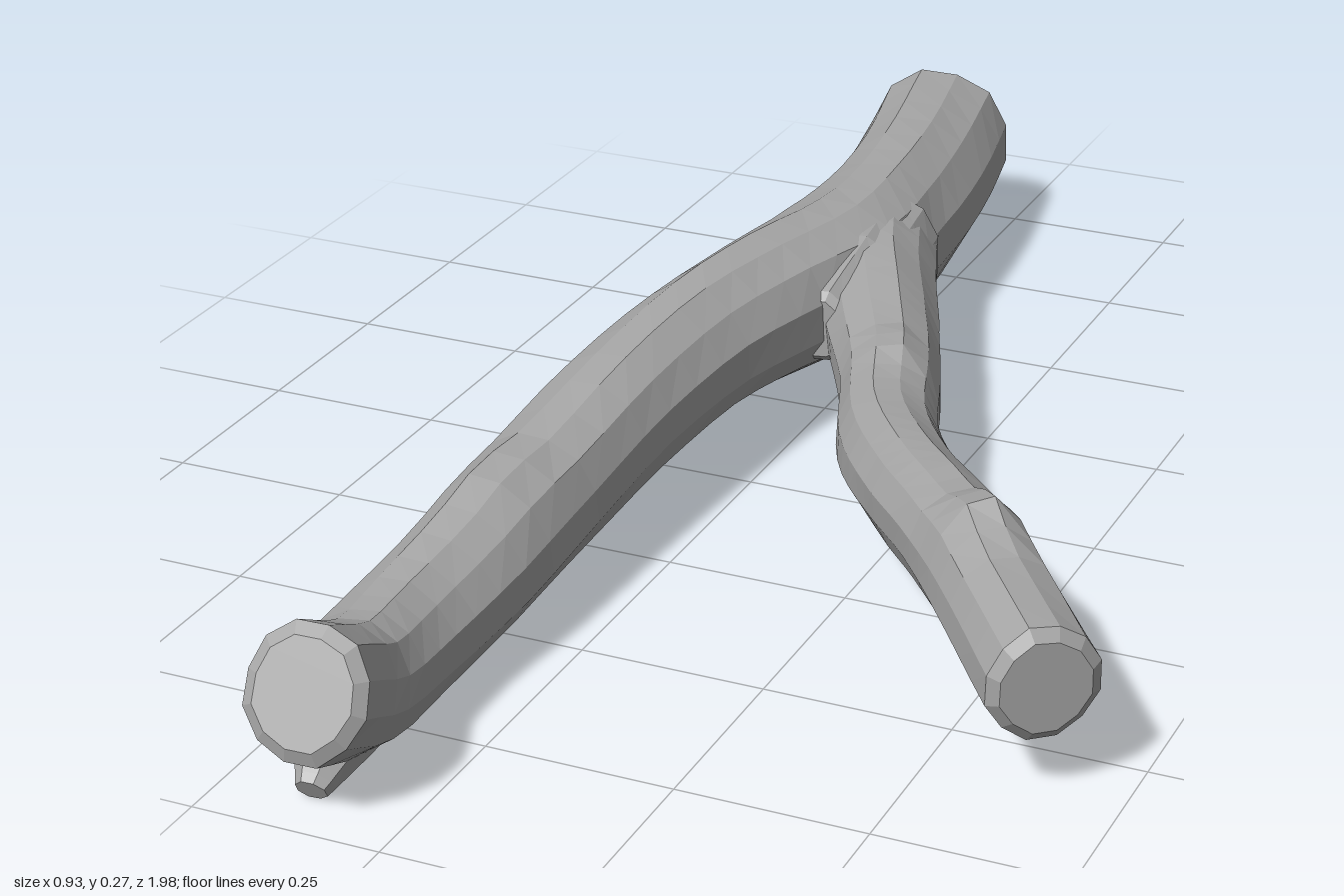
import * as THREE from 'three';

const SIDES = 12;

// Loft a closed limb along stations [x, y, z, halfWidth, halfHeight]; knots are [x, y, z, size, dx, dy, dz]
function limb(name, stations, rings, knots, material, sides = SIDES) {
  const curve = new THREE.CatmullRomCurve3(stations.map(s => new THREE.Vector3(s[0], s[1], s[2])));
  const last = stations.length - 1;
  const up = new THREE.Vector3(0, 1, 0);
  const positions = [], index = [];

  const addRing = (t, scale, push) => {
    const f = t * last, i = Math.min(Math.floor(f), last - 1), k = f - i;
    const w = THREE.MathUtils.lerp(stations[i][3], stations[i + 1][3], k) * scale;
    const h = THREE.MathUtils.lerp(stations[i][4], stations[i + 1][4], k) * scale;
    const tangent = curve.getTangent(t);
    const side = new THREE.Vector3().crossVectors(up, tangent).normalize();
    const top = new THREE.Vector3().crossVectors(tangent, side);
    const centre = curve.getPoint(t).addScaledVector(tangent, push);
    for (let j = 0; j < sides; j++) {
      const a = (j + 0.5) / sides * Math.PI * 2;
      // slight unevenness of the bark
      const r = 1 + 0.025 * Math.sin(j * 2.3 + f * 1.7);
      const p = centre.clone()
        .addScaledVector(side, Math.cos(a) * w * r)
        .addScaledVector(top, Math.sin(a) * h * r);
      for (const [x, y, z, size, dx, dy, dz] of knots) {
        const d2 = p.distanceToSquared(new THREE.Vector3(x, y, z));
        p.addScaledVector(new THREE.Vector3(dx, dy, dz), Math.exp(-d2 / (size * size)));
      }
      positions.push(p.x, p.y, p.z);
    }
  };

  // bevelled cut, body, bevelled cut
  addRing(0, 0.8, -0.012);
  for (let i = 0; i <= rings; i++) addRing(i / rings, 1, 0);
  addRing(1, 0.8, 0.012);

  const total = rings + 3;
  for (let i = 0; i < total - 1; i++) {
    for (let j = 0; j < sides; j++) {
      const a = i * sides + j, b = i * sides + (j + 1) % sides;
      index.push(a, b, a + sides, b, b + sides, a + sides);
    }
  }
  // flat cut faces
  const end = (total - 1) * sides;
  for (let j = 1; j < sides - 1; j++) {
    index.push(0, j + 1, j, end, end + j, end + j + 1);
  }

  const geometry = new THREE.BufferGeometry();
  geometry.setAttribute('position', new THREE.Float32BufferAttribute(positions, 3));
  geometry.setIndex(index);
  geometry.computeVertexNormals();
  const mesh = new THREE.Mesh(geometry, material);
  mesh.name = name;
  return mesh;
}

export function createModel() {
  const group = new THREE.Group();
  group.name = 'forkedBranch';
  const bark = new THREE.MeshStandardMaterial({ color: 0xa6a6a6, flatShading: true });
  bark.name = 'greyBark';

  // main stem, from the thick cut at the back to the upturned front end
  group.add(limb('mainStem', [
    [-0.362, 0.145, -0.955, 0.11, 0.115],
    [-0.325, 0.142, -0.76, 0.108, 0.113],
    [-0.302, 0.142, -0.57, 0.108, 0.113],
    [-0.295, 0.152, -0.40, 0.115, 0.11],
    [-0.325, 0.165, -0.22, 0.102, 0.105],
    [-0.352, 0.172, -0.04, 0.092, 0.098],
    [-0.368, 0.160, 0.16, 0.088, 0.093],
    [-0.376, 0.134, 0.36, 0.087, 0.09],
    [-0.382, 0.112, 0.54, 0.086, 0.09],
    [-0.391, 0.096, 0.70, 0.082, 0.085],
    [-0.379, 0.106, 0.83, 0.078, 0.082],
    [-0.357, 0.168, 0.958, 0.077, 0.085],
  ], 33, [[-0.38, 0.21, 0.47, 0.07, 0, 0.015, 0]], bark));

  // side branch, growing out of the stem at the fork
  group.add(limb('sideBranch', [
    [-0.285, 0.145, -0.58, 0.075, 0.085],
    [-0.235, 0.146, -0.41, 0.085, 0.092],
    [-0.155, 0.142, -0.24, 0.082, 0.085],
    [-0.080, 0.139, -0.09, 0.072, 0.08],
    [-0.020, 0.137, 0.06, 0.068, 0.08],
    [0.075, 0.152, 0.20, 0.066, 0.077],
    [0.175, 0.170, 0.32, 0.068, 0.075],
    [0.275, 0.172, 0.44, 0.07, 0.075],
    [0.405, 0.163, 0.605, 0.071, 0.077],
  ], 32, [
    [0.25, 0.25, 0.40, 0.05, 0, 0.035, 0],
    [-0.06, 0.22, -0.07, 0.04, 0, 0.015, 0],
  ], bark));

  // web of wood filling the crotch of the fork
  group.add(limb('forkWeb', [
    [-0.27, 0.155, -0.50, 0.09, 0.09],
    [-0.245, 0.158, -0.34, 0.085, 0.085],
    [-0.235, 0.155, -0.21, 0.045, 0.055],
  ], 6, [], bark));

  // broken spur under the upturned front end
  group.add(limb('brokenSpur', [
    [-0.385, 0.085, 0.77, 0.06, 0.06],
    [-0.382, 0.060, 0.86, 0.055, 0.052],
    [-0.378, 0.026, 0.925, 0.026, 0.022],
  ], 5, [], bark, 8));

  return group;
}
